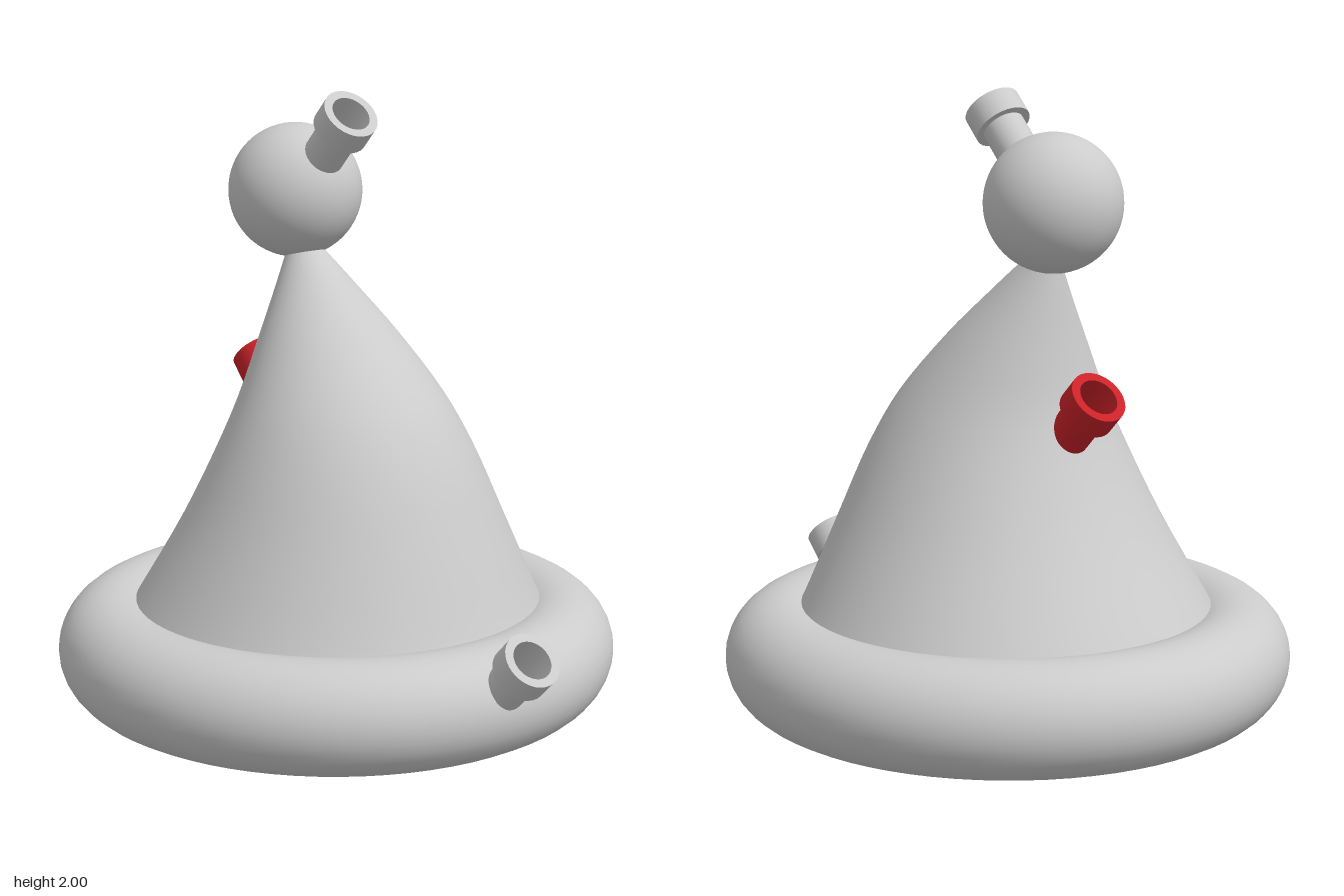
import * as THREE from 'three';

const grey = new THREE.MeshStandardMaterial({ color: 0xcccccc, side: THREE.DoubleSide });
const red = new THREE.MeshStandardMaterial({ color: 0xcc2229, side: THREE.DoubleSide });

function addMesh(parent, name, geometry, material = grey) {
  const mesh = new THREE.Mesh(geometry, material);
  mesh.name = name;
  parent.add(mesh);
  return mesh;
}

// Bent cone: circular sections (centre x, height, radius) lofted upwards
function bentCone() {
  const path = new THREE.CatmullRomCurve3([
    [-0.065, 0.3, 0.69], [-0.06, 0.37, 0.652], [-0.031, 0.62, 0.526], [-0.022, 0.86, 0.415],
    [-0.043, 1.02, 0.335], [-0.115, 1.21, 0.226], [-0.186, 1.35, 0.136], [-0.244, 1.46, 0.065],
  ].map((p) => new THREE.Vector3(...p)));
  const rings = 28, sides = 64, positions = [], index = [];
  for (let i = 0; i <= rings; i++) {
    const t = i / rings, s = path.getPoint(t);
    const tilt = 0.25 * t ** 4;
    for (let j = 0; j < sides; j++) {
      const a = (j / sides) * Math.PI * 2, dx = s.z * Math.cos(a);
      positions.push(s.x + dx, s.y + tilt * dx, s.z * Math.sin(a));
      if (i === rings) continue;
      const p = i * sides + j, q = i * sides + ((j + 1) % sides);
      index.push(p, p + sides, q, q, p + sides, q + sides);
    }
  }
  const geometry = new THREE.BufferGeometry();
  geometry.setAttribute('position', new THREE.Float32BufferAttribute(positions, 3));
  geometry.setIndex(index);
  geometry.computeVertexNormals();
  return geometry;
}

// Hollow flanged socket: y = 0 is the open mouth, the stem runs down -y
function socketGeometry() {
  const corners = [[0, -0.24], [0.068, -0.24], [0.068, -0.083], [0.092, -0.083], [0.092, 0],
    [0.064, 0], [0.064, -0.19], [0, -0.19]];
  // Each corner is doubled so that the edges stay sharp
  const profile = corners.flatMap(([r, y]) => [new THREE.Vector2(r, y), new THREE.Vector2(r, y)]).slice(1, -1);
  const geometry = new THREE.LatheGeometry(profile, 32);
  // Every pair of points is one flat band, so its normal is constant along the profile
  const n = geometry.attributes.normal, count = profile.length;
  for (let i = 0; i <= 32; i++) {
    const a = (i / 32) * Math.PI * 2;
    for (let k = 0; k < count; k++) {
      const b = k - (k % 2), d = profile[b + 1].clone().sub(profile[b]).normalize();
      n.setXYZ(i * count + k, d.y * Math.sin(a), -d.x, d.y * Math.cos(a));
    }
  }
  return geometry;
}

export function createModel() {
  const model = new THREE.Group();
  model.name = 'pompomHat';

  // Round brim
  const brim = addMesh(model, 'brim', new THREE.TorusGeometry(0.734, 0.18, 32, 72).rotateX(Math.PI / 2));
  brim.position.set(-0.073, 0.185, 0);

  // Leaning cone with its underside and tip closed
  addMesh(model, 'cone', bentCone());
  const underside = addMesh(model, 'coneUnderside', new THREE.CircleGeometry(0.69, 64).rotateX(Math.PI / 2));
  underside.position.set(-0.065, 0.3, 0);
  const tip = addMesh(model, 'coneTip', new THREE.CircleGeometry(0.065, 32).rotateX(-Math.PI / 2));
  tip.position.set(-0.244, 1.46, 0);
  tip.rotation.z = Math.atan(0.25);

  // Ball on the tip
  addMesh(model, 'pompom', new THREE.SphereGeometry(0.218, 48, 32)).position.set(-0.296, 1.66, 0);

  // Sockets, each leaning 45 degrees outwards
  const socket = socketGeometry();
  for (const [name, x, y, lean, material] of [
    ['pompomSocket', 0.01, 1.935, -1, grey],
    ['brimSocket', 0.925, 0.39, -1, grey],
    ['coneSocket', -0.517, 1.085, 1, red],
  ]) {
    const mesh = addMesh(model, name, socket, material);
    mesh.position.set(x, y, 0);
    mesh.rotation.z = lean * Math.PI / 4;
  }
  return model;
}
